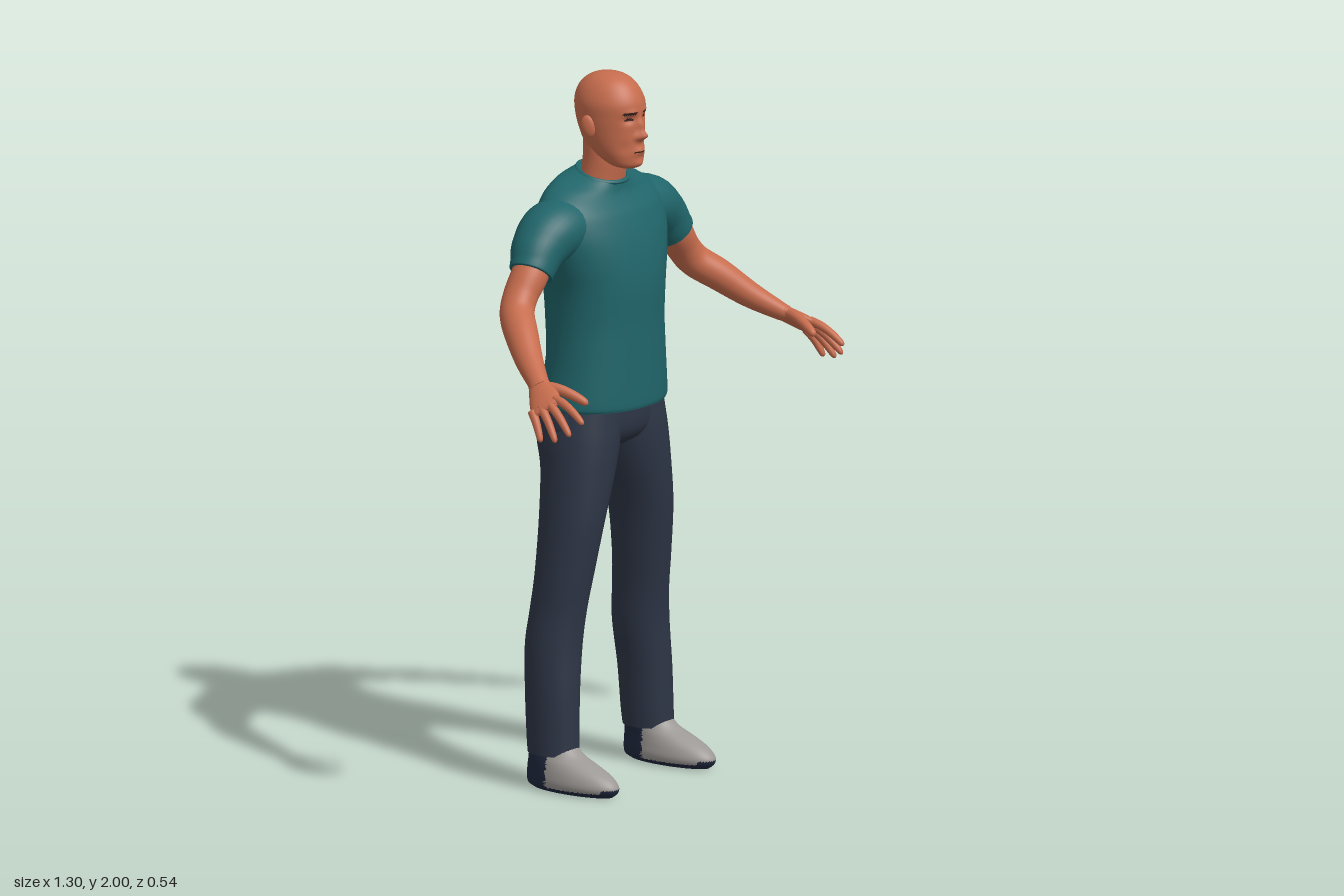
import * as THREE from 'three';

const mat = (name, color, side = THREE.FrontSide) => {
  const m = new THREE.MeshStandardMaterial({ color, side });
  m.name = name;
  return m;
};

// Smooth skin through rows of [x, y, z, half width, half depth].
// Without ref the rings lie flat and rows run upwards; with ref they follow the path.
function loft(rows, { seg = 32, sub = 5, ref = null, p = 1 } = {}) {
  const path = new THREE.CatmullRomCurve3(rows.map(r => new THREE.Vector3(r[0], r[1], r[2])), false, 'catmullrom');
  const size = new THREE.CatmullRomCurve3(rows.map(r => new THREE.Vector3(r[3], r[4], 0)), false, 'catmullrom');
  const n = (rows.length - 1) * sub, pos = [], idx = [];
  const U = new THREE.Vector3(1, 0, 0), V = new THREE.Vector3(0, 0, 1);
  const bend = v => Math.sign(v) * Math.pow(Math.abs(v), p);
  for (let i = 0; i <= n; i++) {
    const c = path.getPoint(i / n), s = size.getPoint(i / n);
    if (ref) {
      const T = path.getTangent(i / n);
      U.crossVectors(T, ref).normalize();
      V.crossVectors(U, T);
    }
    for (let j = 0; j < seg; j++) {
      const a = j / seg * Math.PI * 2;
      const q = c.clone().addScaledVector(U, s.x * bend(Math.cos(a))).addScaledVector(V, s.y * bend(Math.sin(a)));
      pos.push(q.x, q.y, q.z);
    }
  }
  for (let i = 0; i < n; i++) for (let j = 0; j < seg; j++) {
    const a = i * seg + j, b = i * seg + (j + 1) % seg;
    idx.push(a, a + seg, b, b, a + seg, b + seg);
  }
  // End caps with their own corners
  for (const end of [0, n]) {
    const base = pos.length / 3, c = path.getPoint(end / n);
    for (let k = 0; k < seg * 3; k++) pos.push(pos[end * seg * 3 + k]);
    pos.push(c.x, c.y, c.z);
    for (let j = 0; j < seg; j++) {
      const a = base + j, b = base + (j + 1) % seg;
      end ? idx.push(base + seg, b, a) : idx.push(base + seg, a, b);
    }
  }
  const g = new THREE.BufferGeometry();
  g.setAttribute('position', new THREE.Float32BufferAttribute(pos, 3));
  g.setIndex(idx);
  g.computeVertexNormals();
  return g;
}

// Move every vertex by a rule
function sculpt(g, rule) {
  const P = g.attributes.position, v = new THREE.Vector3();
  for (let i = 0; i < P.count; i++) {
    rule(v.fromBufferAttribute(P, i));
    P.setXYZ(i, v.x, v.y, v.z);
  }
  g.computeVertexNormals();
  return g;
}

// Sort faces into material groups by the place of their centre
function paint(g, pick, count) {
  const P = g.attributes.position, I = g.index.array, bins = Array.from({ length: count }, () => []);
  const mid = (f, k) => (P.getComponent(I[f], k) + P.getComponent(I[f + 1], k) + P.getComponent(I[f + 2], k)) / 3;
  for (let f = 0; f < I.length; f += 3) bins[pick(mid(f, 0), mid(f, 1), mid(f, 2))].push(I[f], I[f + 1], I[f + 2]);
  let start = 0;
  bins.forEach((b, i) => { g.addGroup(start, b.length, i); start += b.length; });
  g.setIndex(bins.flat());
  return g;
}

export function createModel() {
  const model = new THREE.Group();
  model.name = 'standingMan';
  const skin = mat('skin', 0xc66c4d), shirt = mat('teal shirt', 0x20656a), pants = mat('dark trousers', 0x2d3545);
  const shoeGrey = mat('shoe grey', 0x9c9895), shoeDark = mat('shoe navy', 0x20283e), dark = mat('brow brown', 0x33201c);
  const add = (name, geo, m, parent = model) => {
    const mesh = new THREE.Mesh(geo, m);
    mesh.name = name;
    parent.add(mesh);
    return mesh;
  };
  const Z = new THREE.Vector3(0, 0, 1);

  // Head, with face features as soft bumps: [x, y, spread x, spread y, push]
  const bumps = [[0, 1.832, 0.012, 0.013, 0.026], [0, 1.858, 0.009, 0.02, 0.014], [0.014, 1.828, 0.008, 0.008, 0.008],
    [0.033, 1.878, 0.016, 0.011, -0.009], [0.028, 1.898, 0.02, 0.008, 0.004], [0, 1.787, 0.02, 0.011, 0.007],
    [0, 1.75, 0.018, 0.012, 0.006], [0.045, 1.80, 0.016, 0.02, -0.004]];
  const head = sculpt(loft([
    [0, 1.735, -0.035, 0.02, 0.025], [0, 1.745, -0.037, 0.044, 0.045], [0, 1.77, -0.062, 0.062, 0.076],
    [0, 1.80, -0.075, 0.073, 0.089], [0, 1.84, -0.085, 0.081, 0.097], [0, 1.88, -0.09, 0.086, 0.103],
    [0, 1.92, -0.092, 0.087, 0.104], [0, 1.955, -0.095, 0.075, 0.091], [0, 1.98, -0.095, 0.056, 0.068],
    [0, 1.994, -0.095, 0.033, 0.04], [0, 2, -0.095, 0.004, 0.005]], { seg: 104, sub: 8 }), v => {
    if (v.z < -0.05) return;
    let dz = 0;
    for (const [x, y, sx, sy, d] of bumps)
      dz += d * Math.exp(-(((Math.abs(v.x) - x) / sx) ** 2) - ((v.y - y) / sy) ** 2);
    v.z += dz * Math.min(1, (v.z + 0.05) / 0.03);
  });
  add('head', paint(head, (x, y, z) => {
    if (z < -0.04) return 0;
    const ax = Math.abs(x);
    const brow = ax > 0.014 && ax < 0.052 && Math.abs(y - 1.897 + 3 * (ax - 0.033) ** 2) < 0.0035;
    const eye = ((ax - 0.033) / 0.013) ** 2 + ((y - 1.878) / 0.0045) ** 2 < 1;
    const mouth = ax < 0.022 && Math.abs(y - 1.787) < 0.002;
    return brow || eye || mouth ? 1 : 0;
  }, 2), [skin, dark]);
  add('neck', loft([[0, 1.64, -0.13, 0.085, 0.062], [0, 1.70, -0.117, 0.07, 0.061],
    [0, 1.76, -0.108, 0.064, 0.061], [0, 1.83, -0.11, 0.062, 0.06]]), skin);

  // Shirt body, with the neckline dipping to the front
  const dip = v => { v.y -= 0.28 * (v.z + 0.115) * THREE.MathUtils.smoothstep(v.y, 1.6, 1.7); };
  add('shirtBody', sculpt(loft([
    [0, 1.063, -0.115, 0.2, 0.147], [0, 1.085, -0.115, 0.206, 0.15], [0, 1.2, -0.106, 0.191, 0.141],
    [0, 1.3, -0.109, 0.185, 0.144], [0, 1.4, -0.111, 0.191, 0.148], [0, 1.48, -0.116, 0.212, 0.146],
    [0, 1.55, -0.123, 0.23, 0.138], [0, 1.61, -0.13, 0.232, 0.122], [0, 1.65, -0.132, 0.212, 0.104],
    [0, 1.68, -0.13, 0.165, 0.086], [0, 1.70, -0.123, 0.108, 0.074], [0, 1.712, -0.118, 0.078, 0.068]],
    { seg: 56, p: 0.92 }), dip), shirt);
  const collar = new THREE.TorusGeometry(0.075, 0.006, 8, 40).rotateX(Math.PI / 2).scale(1, 1, 0.9).translate(0, 1.71, -0.118);
  add('collar', sculpt(collar, dip), shirt);

  add('pelvis', loft([[0, 0.945, -0.115, 0.1, 0.06], [0, 0.97, -0.118, 0.17, 0.1], [0, 1.01, -0.12, 0.212, 0.12],
    [0, 1.09, -0.118, 0.196, 0.118]], { seg: 40 }), pants);

  for (const s of [1, -1]) {
    const side = new THREE.Group();
    side.name = s > 0 ? 'leftSide' : 'rightSide';
    model.add(side);
    const flip = rows => rows.map(([x, ...r]) => [s * x, ...r]);

    const ear = new THREE.SphereGeometry(1, 20, 14).scale(0.01, 0.032, 0.02).rotateX(-0.2).rotateY(s * -0.35);
    add('ear', ear.translate(s * 0.088, 1.857, -0.1), skin, side);

    // Sleeve and bare arm
    add('sleeve', loft(flip([[0.1, 1.585, -0.13, 0.075, 0.09], [0.205, 1.578, -0.132, 0.085, 0.093],
      [0.272, 1.54, -0.13, 0.076, 0.079], [0.31, 1.498, -0.122, 0.065, 0.066], [0.323, 1.481, -0.12, 0.062, 0.062]]),
      { ref: Z }), shirt, side);
    add('arm', loft(flip([[0.28, 1.53, -0.125, 0.05, 0.054], [0.33, 1.475, -0.12, 0.05, 0.053],
      [0.37, 1.425, -0.12, 0.046, 0.05], [0.405, 1.382, -0.105, 0.046, 0.049], [0.45, 1.34, -0.055, 0.044, 0.047],
      [0.5, 1.285, 0.01, 0.036, 0.039], [0.545, 1.242, 0.075, 0.026, 0.03], [0.56, 1.23, 0.095, 0.022, 0.03]]),
      { ref: Z }), skin, side);

    // Hand, spread across the line of the knuckles
    const across = new THREE.Vector3(s * 0.043, -0.04, -0.06).normalize();
    add('palm', loft(flip([[0.545, 1.24, 0.075, 0.022, 0.028], [0.565, 1.225, 0.1, 0.02, 0.036],
      [0.588, 1.206, 0.13, 0.018, 0.045], [0.606, 1.191, 0.15, 0.013, 0.044], [0.611, 1.186, 0.157, 0.006, 0.036]]),
      { ref: across, seg: 24 }), skin, side);
    const fingers = {
      indexFinger: [0.583, 1.213, 0.172, 0.593, 1.158, 0.268], middleFinger: [0.599, 1.199, 0.158, 0.62, 1.125, 0.243],
      ringFinger: [0.612, 1.186, 0.14, 0.637, 1.106, 0.206], littleFinger: [0.624, 1.173, 0.118, 0.644, 1.102, 0.16],
      thumb: [0.55, 1.235, 0.115, 0.516, 1.195, 0.226] };
    for (const [name, [x, y, z, X, Y, W]] of Object.entries(fingers)) {
      const w = name === 'thumb' ? 0.016 : 0.0125;
      const rows = [[-0.12, w], [0.2, w], [0.5, w * 0.92], [0.8, w * 0.8], [0.95, w * 0.6], [1, w * 0.12]].map(([t, r]) =>
        [x + (X - x) * t, y + (Y - y) * t + 0.03 * t * (1 - t), z + (W - z) * t, r, r]);
      add(name, loft(flip(rows), { ref: across, seg: 12, sub: 3 }), skin, side);
    }

    // Trouser leg
    add('trouserLeg', loft(flip([[0.216, 0.1, -0.123, 0.061, 0.077], [0.214, 0.15, -0.126, 0.063, 0.079],
      [0.21, 0.27, -0.131, 0.067, 0.081], [0.198, 0.4, -0.136, 0.074, 0.083], [0.187, 0.5, -0.128, 0.072, 0.083],
      [0.176, 0.6, -0.116, 0.075, 0.086], [0.156, 0.75, -0.105, 0.081, 0.097], [0.125, 0.89, -0.107, 0.098, 0.108],
      [0.109, 0.97, -0.118, 0.108, 0.12], [0.102, 1.02, -0.121, 0.108, 0.12], [0.1, 1.08, -0.119, 0.096, 0.112]])), pants, side);

    // Shoe with grey upper, navy heel and sole
    const shoe = loft(flip([[0.22, 0, -0.05, 0.045, 0.132], [0.22, 0.012, -0.052, 0.06, 0.149], [0.22, 0.03, -0.052, 0.065, 0.152],
      [0.22, 0.055, -0.064, 0.062, 0.139], [0.219, 0.08, -0.088, 0.057, 0.112], [0.217, 0.1, -0.11, 0.053, 0.088],
      [0.215, 0.13, -0.124, 0.048, 0.068]]), { seg: 60 });
    add('shoe', paint(shoe, (x, y, z) => (y < 0.014 || z < -0.105 || (z > 0.07 && y < 0.024) ? 1 : 0), 2), [shoeGrey, shoeDark], side);
  }
  return model;
}
